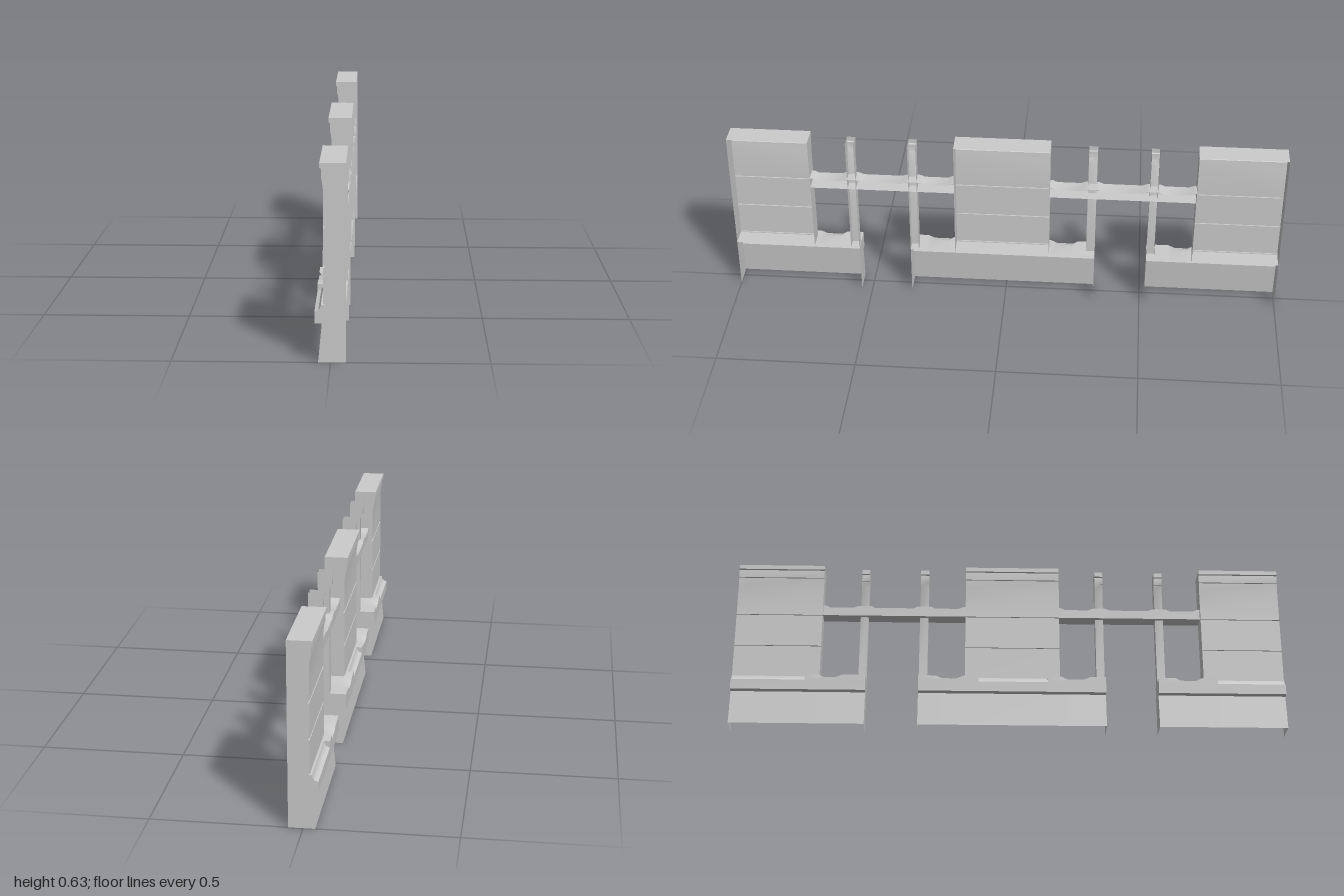
import * as THREE from 'three';
import { mergeGeometries, toCreasedNormals } from 'three/addons/utils/BufferGeometryUtils.js';

const BACK = 0.048; // open rear plane of the facade
const material = new THREE.MeshStandardMaterial({ color: 0xcccccc, side: THREE.DoubleSide });

// Skin lofted along z through sections { z, pts }, optionally with end walls reaching the rear plane
function shell(name, sections, capped = true) {
  const pos = [];
  for (let s = 0; s < sections.length - 1; s++) {
    const A = sections[s], B = sections[s + 1];
    for (let i = 0; i < A.pts.length - 1; i++) {
      const a = [...A.pts[i], A.z], b = [...A.pts[i + 1], A.z];
      const c = [...B.pts[i + 1], B.z], d = [...B.pts[i], B.z];
      pos.push(...a, ...d, ...c, ...a, ...c, ...b);
    }
  }
  const skin = new THREE.BufferGeometry();
  skin.setAttribute('position', new THREE.Float32BufferAttribute(pos, 3));
  const parts = [toCreasedNormals(skin, 0.5)];
  if (capped) {
    for (const { z, pts } of [sections[0], sections[sections.length - 1]]) {
      const outline = [...pts, [BACK, pts[pts.length - 1][1]], [BACK, pts[0][1]]];
      const cap = new THREE.ShapeGeometry(new THREE.Shape(outline.map(p => new THREE.Vector2(...p))));
      cap.translate(0, 0, z);
      cap.deleteAttribute('uv');
      parts.push(cap.toNonIndexed());
    }
  }
  const mesh = new THREE.Mesh(mergeGeometries(parts), material);
  mesh.name = name;
  return mesh;
}

const straight = (pts, z0, z1) => [{ z: z0, pts }, { z: z1, pts }];

// Pier face with three horizontal grooves and a stepped cornice
const pierProfile = [[-0.018, 0.183], [-0.018, 0.19]];
for (const y of [0.305, 0.43]) {
  pierProfile.push([-0.023, pierProfile[pierProfile.length - 1][1]], [-0.023, y], [-0.018, y], [-0.018, y + 0.007]);
}
pierProfile.push([-0.023, 0.437], [-0.023, 0.555], [-0.027, 0.585], [-0.029, 0.587], [-0.029, 0.617],
  [-0.034, 0.619], [-0.034, 0.635], [BACK, 0.635]);

// Slim window post with an open, flared head
const postProfile = [[0.008, 0.187], [0.008, 0.57], [0.001, 0.588], [-0.001, 0.588], [-0.001, 0.616],
  [-0.006, 0.618], [-0.006, 0.635]];

// Outer edge of the plinth ledge: square, dipped at the windows, coved below the piers
const ledge = {
  full: [[-0.05, 0.165], [-0.05, 0.176], [-0.05, 0.187], [-0.03, 0.187]],
  dip: [[-0.05, 0.165], [-0.05, 0.176], [-0.04, 0.179], [-0.02, 0.187]],
  cove: [[-0.05, 0.165], [-0.038, 0.169], [-0.032, 0.177], [-0.03, 0.187]],
};
const plinthSection = (z, kind) => ({
  z,
  pts: [[-0.039, 0], [-0.027, 0.127], [-0.05, 0.127], ...ledge[kind], [BACK, 0.187]],
});

// Plinth between z0 and z1, with the given cove and dip ranges
function plinth(z0, z1, cove, dips) {
  const sections = [];
  const [c0, c1] = cove;
  if (c0 > z0) sections.push(plinthSection(c0, 'full'));
  sections.push(plinthSection(c0, 'cove'), plinthSection(c1, 'cove'));
  if (c1 < z1) sections.push(plinthSection(c1, 'full'));
  for (const [d0, d1] of dips) {
    sections.push(plinthSection(d0, 'full'), plinthSection(d0 + 0.025, 'dip'),
      plinthSection(d1 - 0.025, 'dip'), plinthSection(d1, 'full'));
  }
  if (c0 > z0) sections.push(plinthSection(z0, 'full'));
  if (c1 < z1) sections.push(plinthSection(z1, 'full'));
  sections.sort((a, b) => a.z - b.z);
  return shell('plinth', sections);
}

// Crossbar whose top edge rises to meet each pier and post
function crossbar(z0, z1, posts) {
  const stops = [z0, ...posts.flat(), z1];
  const sections = [];
  const at = (z, h) => sections.push({ z, pts: [[BACK, 0.445], [-0.006, 0.445], [-0.006, h], [BACK, h]] });
  for (let i = 0; i < stops.length; i += 2) {
    const a = stops[i], b = stops[i + 1];
    at(a, 0.485);
    at(a + 0.01, 0.484);
    at(a + 0.025, 0.477);
    at(b - 0.025, 0.477);
    at(b - 0.01, 0.484);
    at(b, 0.485);
  }
  return shell('crossbar', sections, false);
}

export function createModel() {
  const group = new THREE.Group();
  group.name = 'facadeWall';

  // Plinths
  group.add(plinth(-1, -0.518, [-1, -0.735], [[-0.69, -0.6]]));
  group.add(plinth(-0.328, 0.35, [-0.11, 0.14], [[-0.265, -0.165], [0.19, 0.295]]));
  group.add(plinth(0.54, 1, [0.755, 1], [[0.6, 0.7]]));

  // Piers
  for (const [a, b] of [[-1, -0.685], [-0.16, 0.185], [0.708, 1]]) {
    group.add(shell('pier', straight(pierProfile, a, b)));
  }

  // Window bays: posts and crossbars
  const bays = [
    { range: [-0.685, -0.16], posts: [[-0.547, -0.518], [-0.328, -0.297]] },
    { range: [0.185, 0.708], posts: [[0.32, 0.35], [0.542, 0.572]] },
  ];
  for (const { range, posts } of bays) {
    for (const [a, b] of posts) group.add(shell('windowPost', straight(postProfile, a, b)));
    group.add(crossbar(...range, posts));
  }
  return group;
}
